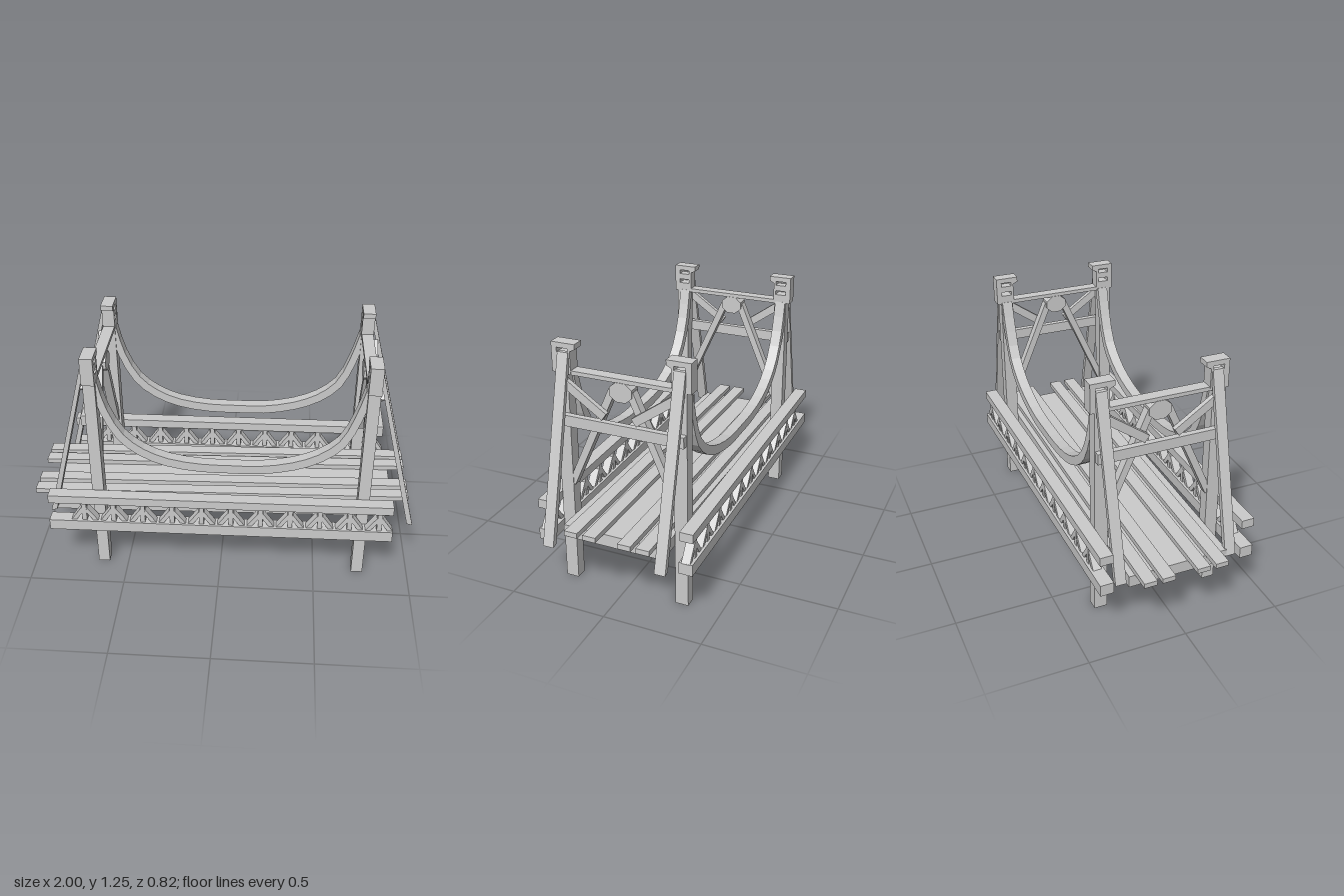
import * as THREE from 'three';

const mat = new THREE.MeshStandardMaterial({ color: 0xcccccc, flatShading: true, side: THREE.DoubleSide });
const V = (x, y, z) => new THREE.Vector3(x, y, z);
const points = list => list.map(([x, y]) => new THREE.Vector2(x, y));

function add(parent, name, geometry) {
  const mesh = new THREE.Mesh(geometry, mat);
  mesh.name = name;
  parent.add(mesh);
  return mesh;
}

function box(parent, name, w, h, d, x, y, z) {
  const mesh = add(parent, name, new THREE.BoxGeometry(w, h, d));
  mesh.position.set(x, y, z);
  return mesh;
}

// Square timber running from point a to point b
function beam(parent, name, a, b, w, d) {
  const dir = b.clone().sub(a);
  const mesh = add(parent, name, new THREE.BoxGeometry(w, dir.length(), d));
  mesh.position.copy(a).add(b).multiplyScalar(0.5);
  mesh.quaternion.setFromUnitVectors(V(0, 1, 0), dir.normalize());
  return mesh;
}

// Leaves one face of a box open: 0 is the underside of a lying beam, 3 of an upright one
function openFace(mesh, face) {
  const index = Array.from(mesh.geometry.index.array);
  index.splice(face * 6, 6);
  mesh.geometry.setIndex(index);
}

// Tower cap: straight outside, rim overhanging the roadway, two slots cut through along x
function capGeometry() {
  const shape = new THREE.Shape(points([
    [-0.055, 0], [0.04, 0], [0.04, 0.108], [0.065, 0.12], [0.065, 0.145], [-0.055, 0.145],
  ]));
  for (const y of [0.045, 0.098]) {
    shape.holes.push(new THREE.Path(points([[-0.028, y], [-0.028, y + 0.022], [0.028, y + 0.022], [0.028, y]])));
  }
  return new THREE.ExtrudeGeometry(shape, { depth: 0.064, bevelEnabled: false })
    .translate(0, 0, -0.032).rotateY(Math.PI / 2);
}

// Hanging main cable: a flat band offset from a sagging curve
function cableGeometry() {
  const curve = new THREE.CatmullRomCurve3([
    [-0.615, 1.11], [-0.575, 0.95], [-0.5, 0.8], [-0.4, 0.712], [-0.27, 0.655], [-0.1, 0.628], [0.05, 0.626],
    [0.2, 0.628], [0.37, 0.66], [0.5, 0.715], [0.605, 0.805], [0.67, 0.95], [0.715, 1.11],
  ].map(([x, y]) => V(x, y, 0)));
  const upper = [], lower = [], n = 24;
  for (let i = 0; i <= n; i++) {
    const p = curve.getPoint(i / n), t = curve.getTangent(i / n);
    const half = 0.017 + 0.007 * Math.abs(t.x);
    upper.push(new THREE.Vector2(p.x - t.y * half, p.y + t.x * half));
    lower.push(new THREE.Vector2(p.x + t.y * half, p.y - t.x * half));
  }
  return new THREE.ExtrudeGeometry(new THREE.Shape([...lower, ...upper.reverse()]),
    { depth: 0.056, bevelEnabled: false }).translate(0, 0, -0.028);
}

// Stay: a flat strip running down to the deck end, cut level at its foot
function stayGeometry(out) {
  const shape = new THREE.Shape(points([
    [out * 0.015, 1.21], [out * 0.035, 1.21], [out * 0.265, 0.315], [out * 0.235, 0.322],
  ]));
  return new THREE.ExtrudeGeometry(shape, { depth: 0.055, bevelEnabled: false }).translate(0, 0, -0.0275);
}

function createTower(x, out) {
  const tower = new THREE.Group();
  tower.name = out > 0 ? 'leftTower' : 'rightTower';
  const face = x + out * 0.045;
  for (const s of [1, -1]) {
    openFace(beam(tower, 'post', V(x, 0, s * 0.301), V(x, 1.115, s * 0.294), 0.06, 0.066), 3);
    const cap = add(tower, 'cap', capGeometry());
    cap.position.set(x, 1.108, s * 0.29 - 0.005);
    cap.rotation.y = s > 0 ? 0 : Math.PI;
    add(tower, 'stay', stayGeometry(out)).position.set(x, 0, s * 0.288 - 0.008);
    beam(tower, 'shortBrace', V(face, 1.075, s * 0.275), V(face, 0.935, s * 0.075 - 0.005), 0.025, 0.042);
    beam(tower, 'longBrace', V(x + out * 0.005, 1.06, s * 0.045 - 0.004),
      V(x + out * 0.005, 0.54, s * 0.272), 0.045, 0.035);
  }
  box(tower, 'topBeam', 0.06, 0.02, 0.6, x, 1.113, -0.005);
  box(tower, 'crossBeam', 0.03, 0.055, 0.625, face, 0.883, -0.013);
  // Octagonal hub joining the long braces
  add(tower, 'hub', new THREE.CylinderGeometry(0.058, 0.058, 0.065, 8)
    .rotateY(Math.PI / 8).rotateZ(Math.PI / 2).scale(1, 0.88, 1.05)).position.set(x, 1.058, -0.005);
  return tower;
}

function createTruss(s) {
  const truss = new THREE.Group();
  truss.name = s > 0 ? 'frontTruss' : 'backTruss';
  const z = x => s * 0.368 - 0.008 * x;
  const at = (x, y) => V(x, y, z(x));
  openFace(beam(truss, 'topRail', at(-0.88, 0.463), at(0.883, 0.463), 0.046, 0.066), 0);
  openFace(beam(truss, 'bottomRail', at(-0.885, 0.3), at(0.89, 0.3), 0.06, 0.068), 0);
  // Web of uprights, each with a flared head and two legs
  for (let i = 0; i < 11; i++) {
    const x = -0.7 + i * 0.152;
    box(truss, 'upright', 0.024, 0.125, 0.045, x, 0.384, z(x));
    box(truss, 'uprightHead', 0.045, 0.012, 0.045, x, 0.437, z(x));
    for (const d of [-1, 1]) {
      beam(truss, 'webLeg', at(x + d * 0.006, 0.402), at(x + d * 0.062, 0.322), 0.022, 0.043);
    }
  }
  return truss;
}

export function createModel() {
  const bridge = new THREE.Group();
  bridge.name = 'suspensionBridge';

  // Gently tilted deck, open underneath, with four running planks
  openFace(beam(bridge, 'deck', V(-0.895, 0.32, 0.002), V(0.895, 0.354, -0.006), 0.062, 0.515), 0);
  for (const z of [0.172, 0.076, -0.104, -0.197]) {
    openFace(beam(bridge, 'plank', V(-1, 0.363, z + 0.004), V(0.98, 0.4, z - 0.006), 0.026, 0.066), 0);
  }

  bridge.add(createTower(-0.632, -1), createTower(0.734, 1));
  for (const s of [1, -1]) {
    bridge.add(createTruss(s));
    add(bridge, 'mainCable', cableGeometry()).position.z = s * 0.288 - 0.008;
  }
  return bridge;
}
